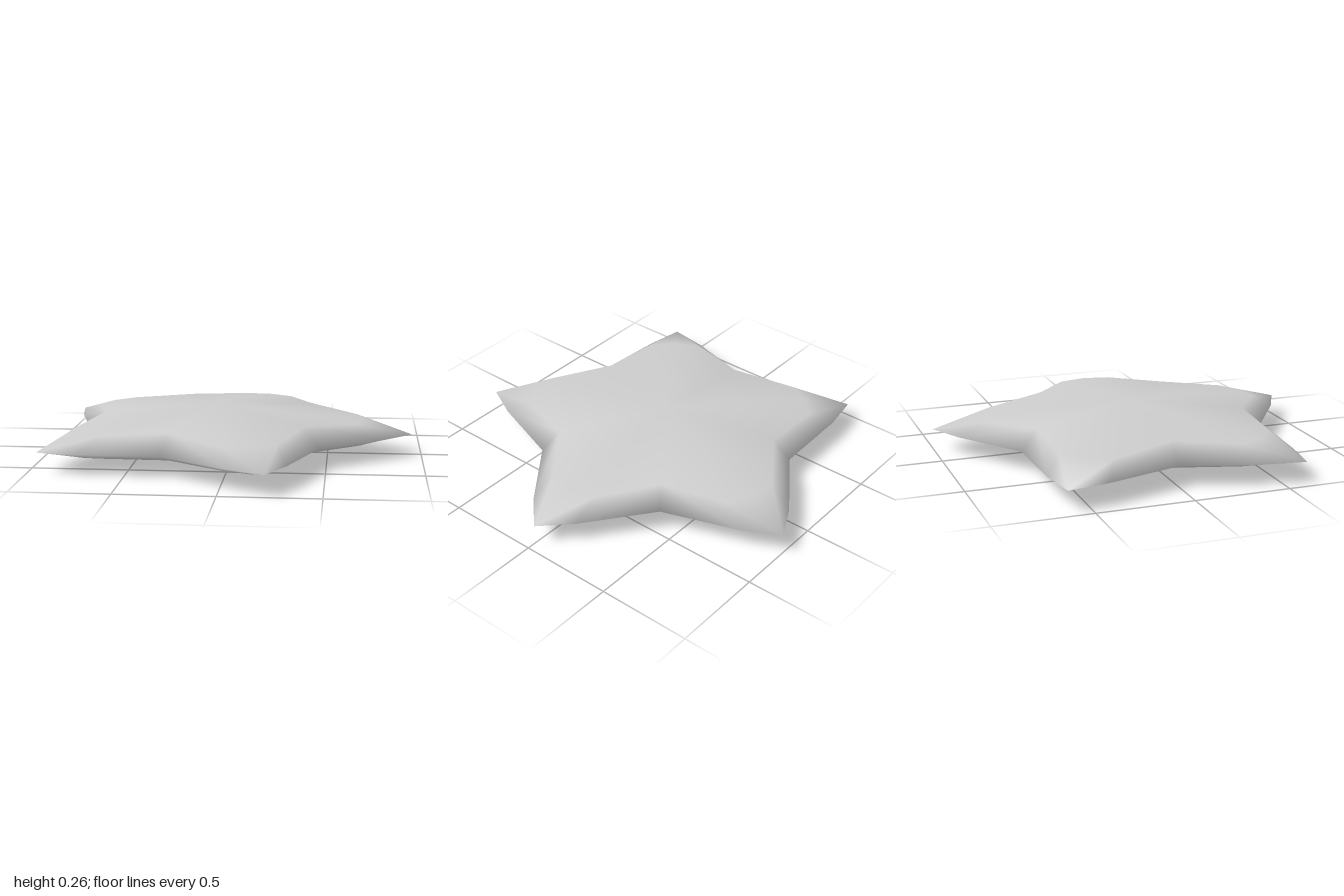
import * as THREE from 'three';

const ARMS = 5;
const CENTRE_X = -0.1;

// One ring of the star: each arm adds tip, shoulder, valley, shoulder.
// A shoulder lies `along` the arm and `side` away from its axis.
function starRing({ tip, along, side, valley, tipY, shoulderY, valleyY }) {
  const ring = [];
  const shoulderR = Math.hypot(along, side);
  const shoulderA = Math.atan2(side, along);
  const step = (Math.PI * 2) / ARMS;
  for (let arm = 0; arm < ARMS; arm++) {
    const corners = [
      [tip, 0, tipY],
      [shoulderR, shoulderA, shoulderY],
      [valley, step / 2, valleyY],
      [shoulderR, step - shoulderA, shoulderY],
    ];
    for (const [r, offset, y] of corners) {
      const a = arm * step + offset;
      ring.push([CENTRE_X + r * Math.cos(a), y, r * Math.sin(a)]);
    }
  }
  return ring;
}

export function createModel() {
  const group = new THREE.Group();
  group.name = 'star';

  const grey = new THREE.MeshStandardMaterial({ color: 0xcccccc });
  grey.name = 'grey';

  // Upper ring, sharp outer rim and lower ring
  const rings = [
    starRing({ tip: 0.79, along: 0.76, side: 0.142, valley: 0.6, tipY: 0.185, shoulderY: 0.185, valleyY: 0.21 }),
    starRing({ tip: 1.05, along: 0.9, side: 0.15, valley: 0.695, tipY: 0.108, shoulderY: 0.108, valleyY: 0.108 }),
    starRing({ tip: 0.79, along: 0.76, side: 0.142, valley: 0.6, tipY: 0.05, shoulderY: 0.07, valleyY: 0.07 }),
  ];
  const n = ARMS * 4;
  const points = [...rings.flat(), [CENTRE_X, 0.265, 0], [CENTRE_X, 0, 0]];
  const top = rings.length * n;
  const bottom = top + 1;

  const index = [];
  for (let i = 0; i < n; i++) {
    const j = (i + 1) % n;
    // Low domes above and below
    index.push(top, j, i);
    index.push(bottom, 2 * n + i, 2 * n + j);
    // Bevels from ring to ring, with the diagonal mirrored about each arm
    for (let k = 0; k < 2; k++) {
      const a = k * n + i, b = k * n + j, c = a + n, d = b + n;
      if (i % 4 < 2) index.push(a, b, c, b, d, c);
      else index.push(a, b, d, a, d, c);
    }
  }

  const geometry = new THREE.BufferGeometry();
  geometry.setAttribute('position', new THREE.Float32BufferAttribute(points.flat(), 3));
  geometry.setIndex(index);
  geometry.computeVertexNormals();

  const body = new THREE.Mesh(geometry, grey);
  body.name = 'starBody';
  group.add(body);
  return group;
}
